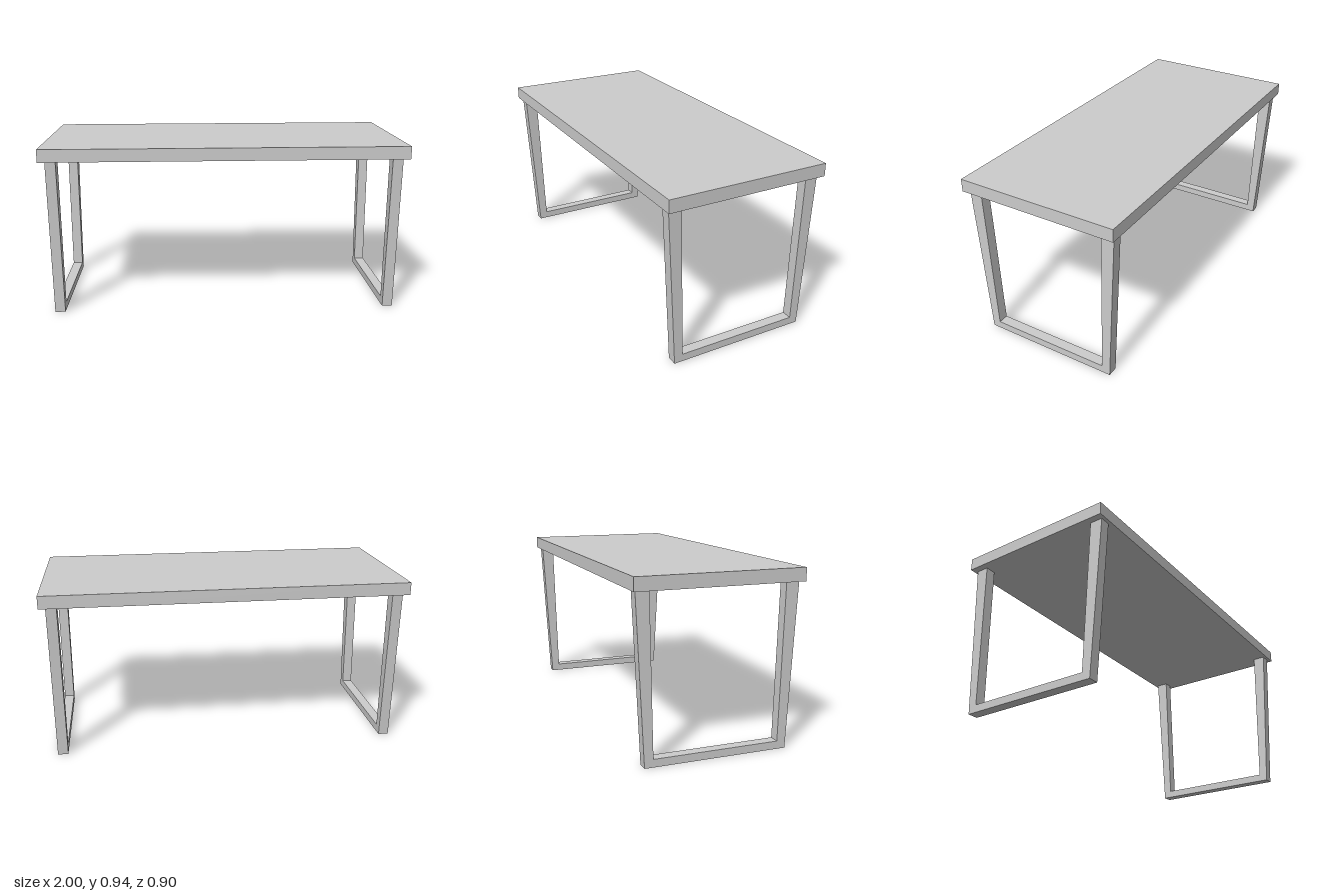
import * as THREE from 'three';

const TOP_Y = 0.943, UNDER_Y = 0.873;
const LEG_X = 0.936, LEG_WIDTH = 0.057;

export function createModel() {
  const table = new THREE.Group();
  table.name = 'table';
  const material = new THREE.MeshStandardMaterial({ color: 0xcccccc, flatShading: true });

  // Flat slab top
  const top = new THREE.Mesh(new THREE.BoxGeometry(2, TOP_Y - UNDER_Y, 0.902), material);
  top.name = 'tabletop';
  top.position.y = (TOP_Y + UNDER_Y) / 2;
  table.add(top);

  // U-shaped end frame: tapered, splayed legs joined by a floor rail
  const half = [[0.387, 0], [0.433, UNDER_Y], [0.362, UNDER_Y], [0.341, 0.042]];
  const mirrored = half.map(([z, y]) => [-z, y]).reverse();
  const outline = new THREE.Shape([...half, ...mirrored].map(([z, y]) => new THREE.Vector2(z, y)));
  const frameGeometry = new THREE.ExtrudeGeometry(outline, { depth: LEG_WIDTH, bevelEnabled: false });
  frameGeometry.translate(0, 0, -LEG_WIDTH / 2).rotateY(Math.PI / 2);

  for (const side of [-1, 1]) {
    const frame = new THREE.Mesh(frameGeometry, material);
    frame.name = side > 0 ? 'leftLegFrame' : 'rightLegFrame';
    frame.position.x = side * LEG_X;
    table.add(frame);
  }
  return table;
}
